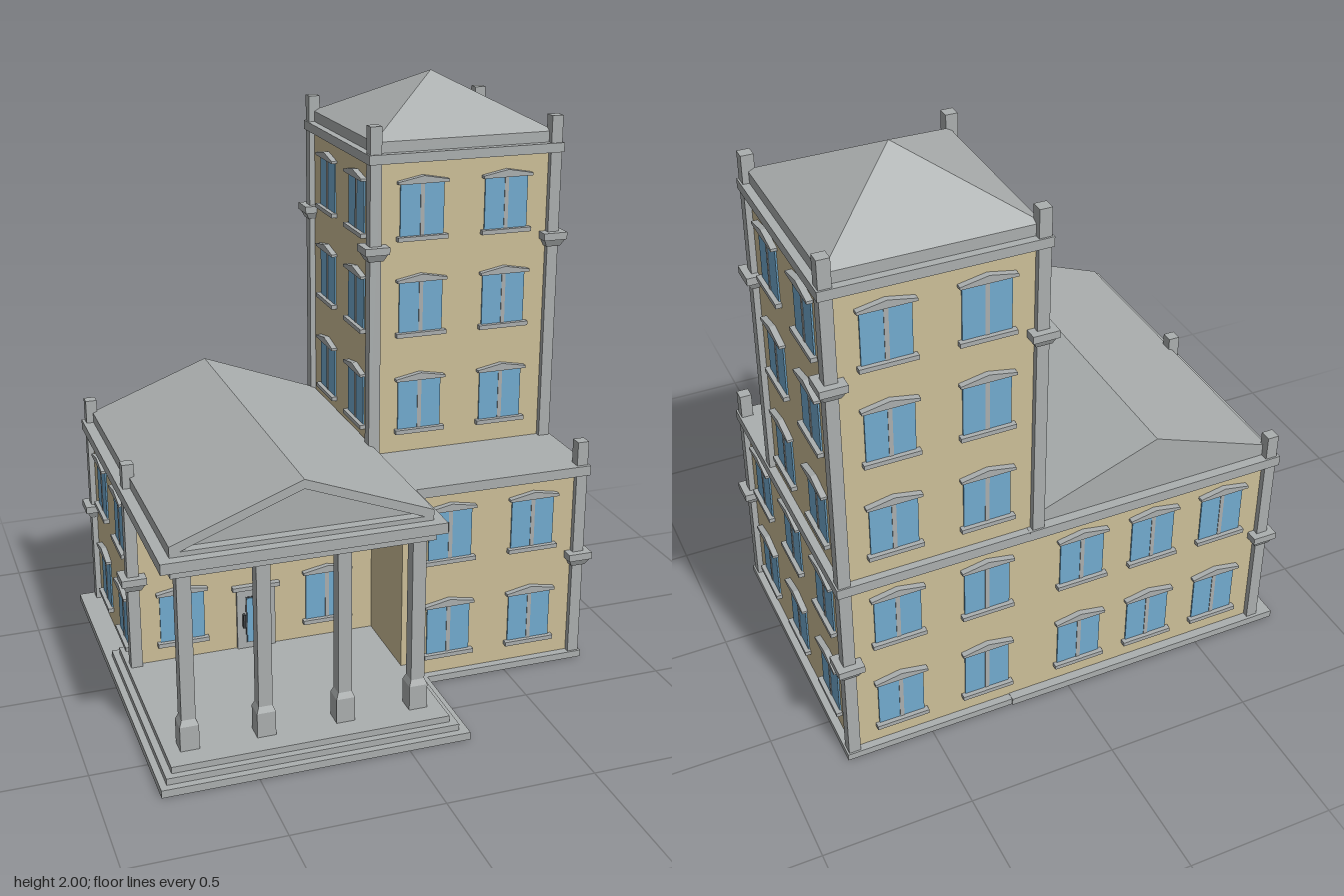
import * as THREE from 'three';

const mat = (name, color) => {
  const m = new THREE.MeshStandardMaterial({ color });
  m.name = name;
  return m;
};

export function createModel() {
  const wall = mat('sand wall', 0xcdbf98);
  const stone = mat('grey stone', 0xabafaf);
  const glass = mat('blue glass', 0x72abcf);
  const dark = mat('dark metal', 0x4a4e50);
  const model = new THREE.Group();

  const add = (name, geometry, material, parent = model) => {
    const mesh = new THREE.Mesh(geometry, material);
    mesh.name = name;
    parent.add(mesh);
    return mesh;
  };
  // Box given by its lower and upper limits on each axis
  const block = (name, material, x0, x1, y0, y1, z0, z1, parent) => {
    const g = new THREE.BoxGeometry(x1 - x0, y1 - y0, z1 - z0);
    g.translate((x0 + x1) / 2, (y0 + y1) / 2, (z0 + z1) / 2);
    return add(name, g, material, parent);
  };
  // Square frustum with half widths at bottom and top
  const frustum = (bottom, top, h) => {
    const g = new THREE.CylinderGeometry(top * Math.SQRT2, bottom * Math.SQRT2, h, 4, 1).toNonIndexed();
    g.rotateY(Math.PI / 4);
    g.computeVertexNormals();
    return g;
  };
  const shape = (pts) => new THREE.Shape(pts.map(([x, y]) => new THREE.Vector2(x, y)));
  const extrude = (s, z0, z1) =>
    new THREE.ExtrudeGeometry(s, { depth: z1 - z0, bevelEnabled: false }).translate(0, 0, z0);

  // Corner lines of the plan
  const L = -0.737, M = 0.123, R = 0.77, B = -0.657, F = -0.013, P = 0.29;

  // Walls
  block('wingWalls', wall, L, 0.3, 0.01, 0.71, B, F);
  block('frontBlockWalls', wall, M, R, 0.01, 0.71, B, P);
  block('towerWalls', wall, M, R, 0.7, 1.77, B, F);

  // Plinth and porch steps
  block('plinth', stone, -0.79, 0.796, 0, 0.024, -0.683, 0.318);
  block('lowerStep', stone, -0.812, 0.21, 0, 0.026, -0.688, 0.695);
  block('middleStep', stone, -0.79, 0.18, 0.026, 0.048, -0.175, 0.67);
  block('porchFloor', stone, -0.768, 0.155, 0.048, 0.07, -0.15, 0.646);

  // Cornices and flat roof
  block('wingCornice', stone, -0.768, 0.155, 0.7, 0.736, -0.683, 0.6);
  block('frontBlockCornice', stone, 0.1, 0.796, 0.7, 0.735, -0.682, 0.322);
  block('porchArchitrave', stone, -0.735, 0.122, 0.675, 0.7, F, 0.583);
  block('towerCornice', stone, 0.097, 0.796, 1.756, 1.788, -0.683, 0.013);

  // Tower roof
  block('towerRoofBase', stone, M, R, 1.788, 1.825, B, F);
  const pyramid = frustum(0.5, 0, 1);
  pyramid.scale(R - M, 0.175, F - B);
  pyramid.translate((M + R) / 2, 1.9125, (B + F) / 2);
  add('towerRoof', pyramid, stone);

  // Gabled roof with a recessed pediment
  const gable = [[-0.732, 0.735], [0.12, 0.735], [0.12, 0.772], [-0.306, 0.933], [-0.732, 0.772]];
  add('gableRoof', extrude(shape(gable), -0.65, 0.53), stone);
  const rim = shape(gable);
  rim.holes.push(shape([[-0.7, 0.752], [-0.306, 0.902], [0.088, 0.752]]));
  add('pedimentRim', extrude(rim, 0.53, 0.565), stone);

  // Porch columns on tapered pedestals
  for (const x of [-0.69, -0.44, -0.175, 0.075]) {
    const column = new THREE.Group();
    column.name = 'porchColumn';
    column.position.set(x, 0, 0.54);
    block('columnPedestal', stone, -0.031, 0.031, 0.07, 0.155, -0.031, 0.031, column);
    add('pedestalTaper', frustum(0.031, 0.023, 0.02), stone, column).position.y = 0.165;
    block('columnShaft', stone, -0.023, 0.023, 0.17, 0.68, -0.023, 0.023, column);
    model.add(column);
  }

  // Corner pilasters with collars
  const pilaster = (x, z, y0, y1, collars) => {
    const g = new THREE.Group();
    g.name = 'cornerPilaster';
    g.position.set(x, 0, z);
    block('pilasterShaft', stone, -0.02, 0.02, y0, y1, -0.02, 0.02, g);
    for (const y of collars) {
      block('collarSlab', stone, -0.043, 0.043, y, y + 0.025, -0.043, 0.043, g);
      add('collarTaper', frustum(0.026, 0.038, 0.025), stone, g).position.y = y - 0.0125;
    }
    model.add(g);
  };
  const low = 0.387, high = 1.457;
  pilaster(L, B, 0.02, 0.82, [low]);
  pilaster(L, F, 0.02, 0.82, [low]);
  pilaster(R, P, 0.02, 0.82, [low]);
  pilaster(R, B, 0.02, 1.88, [low, high]);
  pilaster(M, B, 0.72, 1.88, [high]);
  pilaster(M, F, 0.72, 1.88, [high]);
  pilaster(R, F, 0.72, 1.88, [high]);

  // Window facing +z, with its sill on y = 0
  const hood = extrude(shape([[-0.09, 0.193], [0.09, 0.193], [0.09, 0.202], [0, 0.219], [-0.09, 0.202]]), 0, 0.02);
  const windowAt = (x, y, z, turn) => {
    const g = new THREE.Group();
    g.name = 'window';
    g.position.set(x, y, z);
    g.rotation.y = turn;
    for (const s of [-1, 1]) {
      const a = s * 0.007, b = s * 0.078;
      block('pane', glass, Math.min(a, b), Math.max(a, b), 0.014, 0.195, -0.002, 0.005, g);
    }
    block('mullion', stone, -0.007, 0.007, 0.014, 0.195, -0.002, 0.007, g);
    block('sill', stone, -0.09, 0.09, 0, 0.015, 0, 0.02, g);
    add('hood', hood, stone, g);
    model.add(g);
  };
  const lower = [0.085, 0.44], upper = [0.805, 1.155, 1.49];
  const wingX = [-0.569, -0.307, -0.045], towerX = [0.293, 0.597], sideZ = [-0.479, -0.174];
  const half = Math.PI / 2;

  for (const y of lower) {
    for (const x of towerX) windowAt(x, y, P, 0);
    for (const x of [...wingX, ...towerX]) windowAt(x, y, B, Math.PI);
    for (const z of [...sideZ, 0.131]) windowAt(R, y, z, half);
    for (const z of sideZ) windowAt(L, y, z, -half);
  }
  for (const y of upper) {
    for (const x of towerX) {
      windowAt(x, y, F, 0);
      windowAt(x, y, B, Math.PI);
    }
    for (const z of sideZ) {
      windowAt(R, y, z, half);
      windowAt(M, y, z, -half);
    }
  }
  for (const x of wingX) windowAt(x, 0.44, F, 0);
  for (const x of [wingX[0], wingX[2]]) windowAt(x, 0.127, F, 0);

  // Entrance door
  const door = new THREE.Group();
  door.name = 'door';
  door.position.set(-0.307, 0, F);
  block('doorFrame', stone, -0.069, 0.069, 0.07, 0.297, 0, 0.01, door);
  block('doorLintel', stone, -0.085, 0.085, 0.297, 0.312, 0, 0.022, door);
  block('doorGlassBorder', dark, -0.038, 0.038, 0.092, 0.268, 0.01, 0.012, door);
  block('doorGlass', glass, -0.034, 0.034, 0.096, 0.264, 0.012, 0.015, door);
  block('doorHandle', dark, -0.05, -0.042, 0.155, 0.205, 0.01, 0.025, door);
  model.add(door);

  return model;
}
